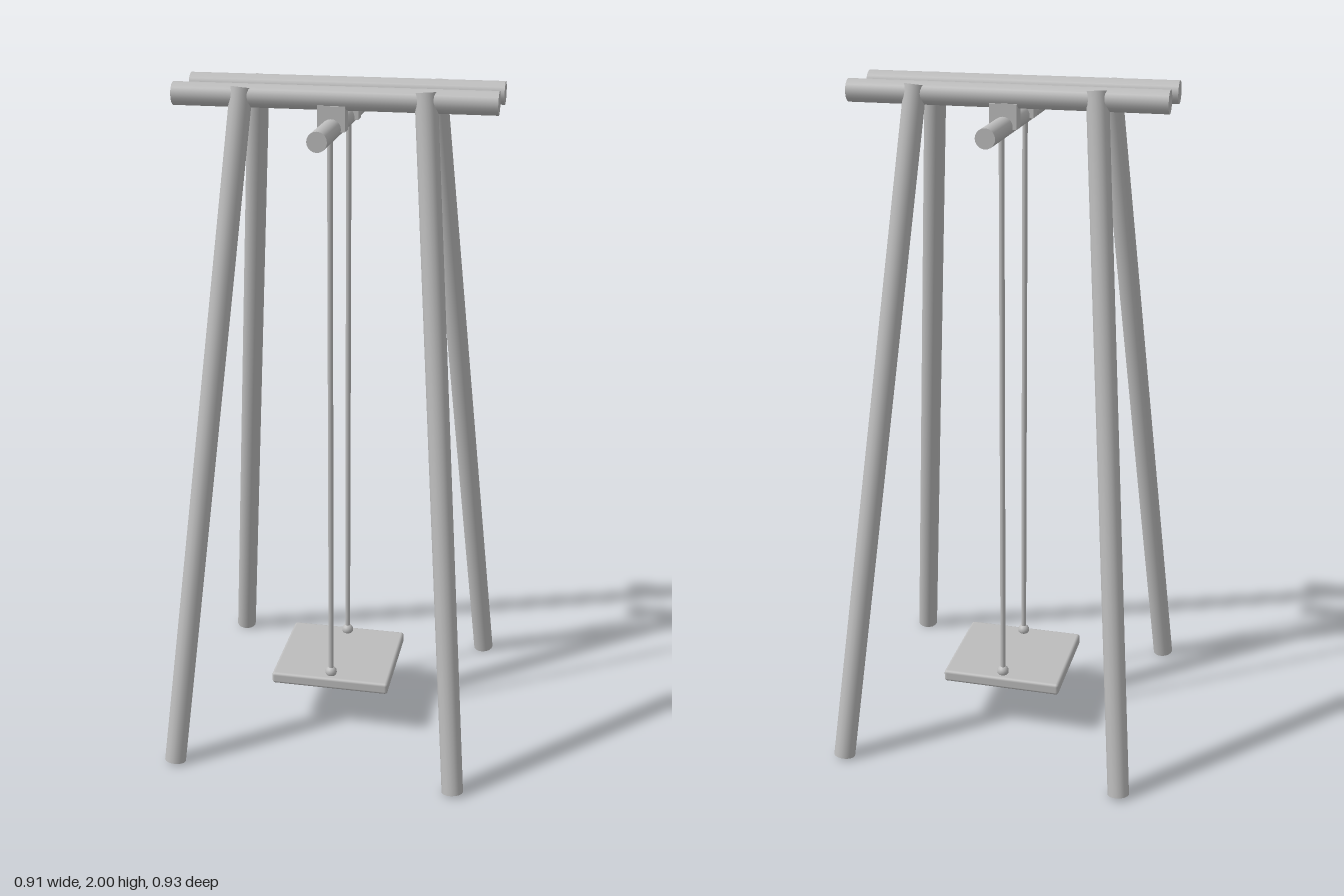
import * as THREE from 'three';
import { RoundedBoxGeometry } from 'three/addons/geometries/RoundedBoxGeometry.js';

export function createModel() {
  const root = new THREE.Group();
  root.name = 'swing';
  const grey = new THREE.MeshStandardMaterial({ color: 0xbcbcbc });
  grey.name = 'plainGrey';

  function add(name, geometry, x = 0, y = 0, z = 0) {
    const mesh = new THREE.Mesh(geometry, grey);
    mesh.name = name;
    mesh.position.set(x, y, z);
    root.add(mesh);
    return mesh;
  }

  // Round pole between two points
  function pole(name, from, to, radius, sides = 16) {
    const a = new THREE.Vector3(...from);
    const b = new THREE.Vector3(...to);
    const dir = b.clone().sub(a);
    const mesh = add(name, new THREE.CylinderGeometry(radius, radius, dir.length(), sides));
    mesh.position.copy(a).add(b).multiplyScalar(0.5);
    mesh.quaternion.setFromUnitVectors(new THREE.Vector3(0, 1, 0), dir.normalize());
  }

  for (const [end, sz] of [['front', 1], ['back', -1]]) {
    // Top beam and its two splayed legs
    pole(end + 'Beam', [-0.455, 1.967, 0.09 * sz], [0.455, 1.967, 0.09 * sz], 0.033, 20);
    for (const [side, sx] of [['Left', 1], ['Right', -1]]) {
      pole(end + side + 'Leg', [0.425 * sx, 0.006, 0.434 * sz], [0.257 * sx, 1.99, 0.096 * sz], 0.032);
    }

    // Block joining the beam to the hanging bar
    add(end + 'Block', new THREE.BoxGeometry(0.078, 0.07, 0.045), 0, 1.915, 0.1 * sz);

    // Rope with a knot on the seat
    const z = 0.137 * sz;
    pole(end + 'Rope', [0, 0.17, z], [0, 1.888, z], 0.008, 10);
    add(end + 'Knot', new THREE.SphereGeometry(0.018, 14, 10), 0, 0.19, z);
  }

  // Hanging bar across the beams
  pole('hangingBar', [0, 1.887, -0.312], [0, 1.887, 0.312], 0.028, 20);

  // Seat board with softened edges
  add('seat', new RoundedBoxGeometry(0.368, 0.037, 0.338, 2, 0.009), 0, 0.163, 0);

  return root;
}
